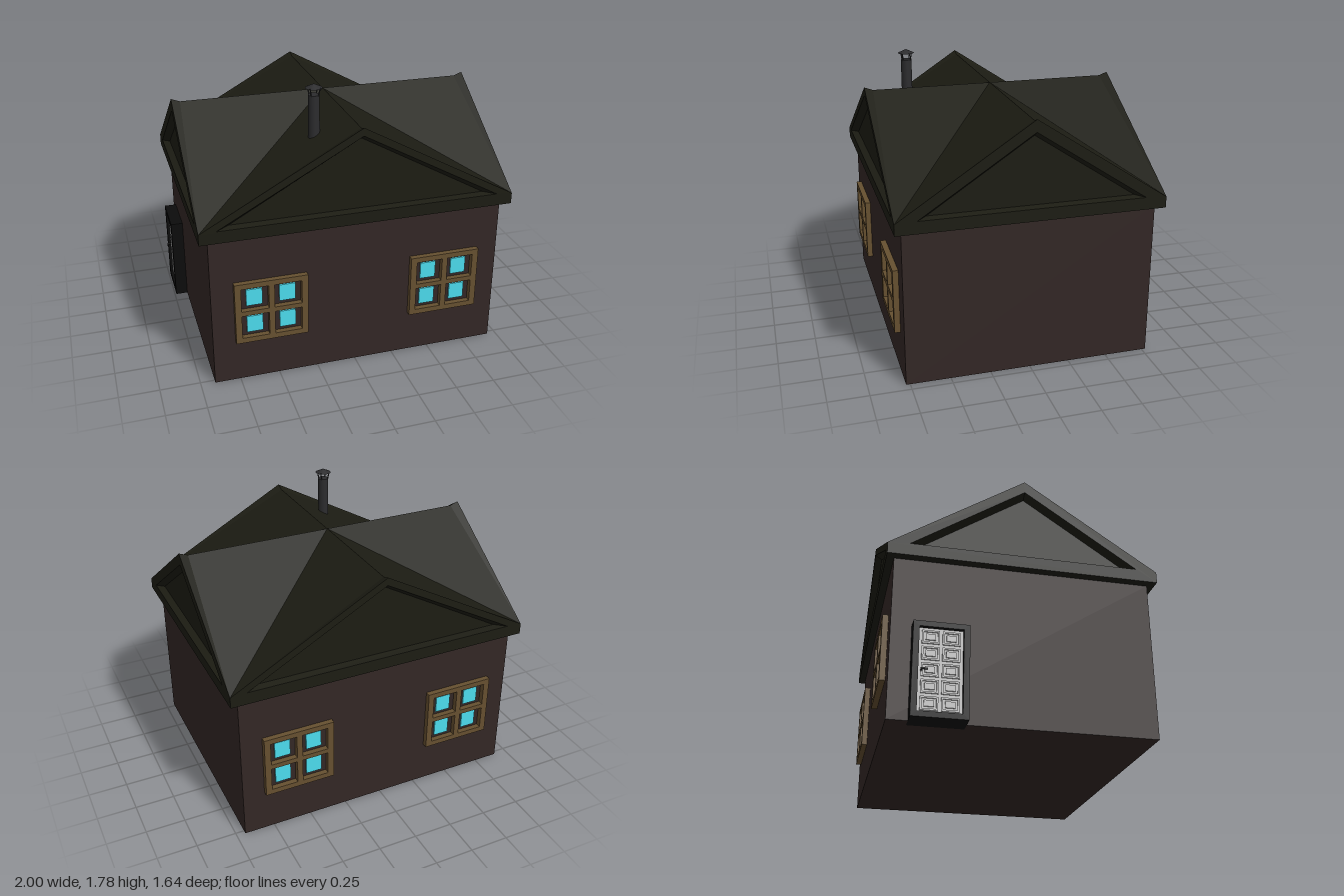
import * as THREE from 'three';

const mat = (color, extra = {}) => new THREE.MeshStandardMaterial({ color, ...extra });
const mats = {
  wall: mat(0x332725),
  roof: mat(0x1c1c13, { flatShading: true }),
  wood: mat(0x665030),
  glass: mat(0x4cdcee),
  dark: mat(0x0c0c0c),
  metal: mat(0x2c2c2e),
  door: mat(0xcccccc),
};
const CX = 0.017; // the house sits slightly off centre to balance the door handle

function add(parent, name, geometry, material, x = 0, y = 0, z = 0) {
  const mesh = new THREE.Mesh(geometry, material);
  mesh.name = name;
  mesh.position.set(x, y, z);
  parent.add(mesh);
  return mesh;
}

const box = (w, h, d) => new THREE.BoxGeometry(w, h, d);

function polygon(points) {
  return points.map(([x, y]) => new THREE.Vector2(x, y));
}

// Rectangular panel in XY with rectangular holes [x, y, w, h], extruded along +z
function piercedPanel(w, h, depth, holes) {
  const rect = (x, y, a, b) => polygon([
    [x - a / 2, y - b / 2], [x + a / 2, y - b / 2], [x + a / 2, y + b / 2], [x - a / 2, y + b / 2]]);
  const shape = new THREE.Shape(rect(0, 0, w, h));
  holes.forEach((o) => shape.holes.push(new THREE.Path(rect(...o))));
  return new THREE.ExtrudeGeometry(shape, { depth, bevelEnabled: false });
}

// One quarter of the cross-gabled roof, facing +z
function makeGable(halfWidth, reach, outer, inner) {
  const gable = new THREE.Group();
  gable.name = 'gable';
  const eave = 0.99, top = 1.06, peak = 1.6, ridge = 1.58, recess = 0.045;

  // Front face with a triangular opening
  const face = new THREE.Shape(polygon([
    [-halfWidth, eave], [halfWidth, eave], [halfWidth, top], [0, peak], [-halfWidth, top]]));
  const triangle = ([half, base, apex], z) => [[-half, base, z], [half, base, z], [0, apex, z]];
  face.holes.push(new THREE.Path(polygon(triangle(outer, 0))));
  add(gable, 'gableFrame', new THREE.ShapeGeometry(face), mats.roof, 0, 0, reach);

  // Slopes, soffit, and the sloping recess with its panel
  const L = [-halfWidth, top, reach], R = [halfWidth, top, reach];
  const A = [0, peak, reach], D = [0, ridge, reach - 0.055], C = [0, ridge, 0];
  const slopes = [R, D, A, R, C, D, L, A, D, L, D, C];
  const soffit = [[-halfWidth, eave, reach], [0, eave, 0], [halfWidth, eave, reach]];
  const o = triangle(outer, reach), i = triangle(inner, reach - recess);
  const opening = [...i];
  for (let k = 0; k < 3; k++) {
    const n = (k + 1) % 3;
    opening.push(o[k], o[n], i[n], o[k], i[n], i[k]);
  }
  const surfaces = { roofSlopes: slopes, soffit, gablePanel: opening };
  for (const [name, corners] of Object.entries(surfaces)) {
    const g = new THREE.BufferGeometry();
    g.setAttribute('position', new THREE.Float32BufferAttribute(corners.flat(), 3));
    g.computeVertexNormals();
    add(gable, name, g, mats.roof);
  }
  return gable;
}

// Four-pane window facing +z, its back on z = 0
function makeWindow() {
  const win = new THREE.Group();
  win.name = 'window';
  const cells = [-1, 1].flatMap((sx) => [-1, 1].map((sy) => [sx * 0.103, sy * 0.093]));
  add(win, 'windowFrame',
    piercedPanel(0.455, 0.41, 0.036, cells.map(([x, y]) => [x, y, 0.17, 0.155])), mats.wood);
  cells.forEach(([x, y]) => add(win, 'pane', box(0.1, 0.11, 0.012), mats.glass, x, y, 0.004));
  return win;
}

// Panelled door facing +z, its back on z = 0
function makeDoor() {
  const door = new THREE.Group();
  door.name = 'door';
  add(door, 'doorFrame', piercedPanel(0.32, 0.565, 0.08, [[0, 0, 0.25, 0.5]]), mats.dark, 0, 0.2825, 0);
  add(door, 'doorLeaf', box(0.25, 0.5, 0.05), mats.door, 0, 0.2825, 0.03);
  for (let row = 0; row < 5; row++) {
    for (const sx of [-1, 1]) {
      const y = 0.085 + row * 0.098;
      add(door, 'doorPanelBorder', piercedPanel(0.1, 0.08, 0.008, [[0, 0, 0.08, 0.06]]),
        mats.door, sx * 0.058, y, 0.055);
      add(door, 'doorPanel', box(0.056, 0.036, 0.008), mats.door, sx * 0.058, y, 0.059);
    }
  }
  // Lever handle
  const stem = add(door, 'handleStem', new THREE.CylinderGeometry(0.006, 0.006, 0.035, 8), mats.dark, -0.105, 0.275, 0.072);
  stem.rotation.x = Math.PI / 2;
  add(door, 'handleLever', box(0.04, 0.009, 0.008), mats.dark, -0.092, 0.275, 0.086);
  // Doorstep running under the wall
  add(door, 'doorSill', box(0.32, 0.008, 0.15), mats.dark, 0, 0.004, 0.005);
  return door;
}

// Stovepipe with a conical cap on struts
function makeChimney() {
  const chimney = new THREE.Group();
  chimney.name = 'chimney';
  add(chimney, 'pipe', new THREE.CylinderGeometry(0.035, 0.035, 0.34, 20), mats.metal, 0, 1.55, 0);
  for (let k = 0; k < 4; k++) {
    const a = (k + 0.5) * Math.PI / 2;
    const path = new THREE.LineCurve3(
      new THREE.Vector3(Math.cos(a) * 0.032, 1.715, Math.sin(a) * 0.032),
      new THREE.Vector3(Math.cos(a) * 0.043, 1.767, Math.sin(a) * 0.043));
    add(chimney, 'capStrut', new THREE.TubeGeometry(path, 1, 0.004, 6), mats.metal);
  }
  add(chimney, 'cap', new THREE.CylinderGeometry(0.006, 0.052, 0.022, 20), mats.metal, 0, 1.773, 0);
  return chimney;
}

export function createModel() {
  const house = new THREE.Group();
  house.name = 'house';

  add(house, 'walls', box(1.855, 0.992, 1.55), mats.wall, CX, 0.496, 0);

  // Roof: wide gables front and back, narrower ones at the sides
  const roof = new THREE.Group();
  roof.name = 'roof';
  roof.position.x = CX;
  for (let k = 0; k < 4; k++) {
    const gable = k % 2 === 0
      ? makeGable(0.983, 0.82, [0.88, 1.067, 1.55], [0.8, 1.076, 1.522])
      : makeGable(0.82, 0.983, [0.69, 1.067, 1.525], [0.63, 1.076, 1.495]);
    gable.rotation.y = k * Math.PI / 2;
    roof.add(gable);
  }
  house.add(roof);

  // Two windows on the front and two on the back
  for (const side of [1, -1]) {
    for (const sx of [-1, 1]) {
      const win = makeWindow();
      win.position.set(CX + sx * 0.562, 0.485, side * 0.774);
      win.rotation.y = side > 0 ? 0 : Math.PI;
      house.add(win);
    }
  }

  const door = makeDoor();
  door.position.set(-0.91, 0, -0.495);
  door.rotation.y = -Math.PI / 2;
  house.add(door);

  const chimney = makeChimney();
  chimney.position.set(-0.192, 0, 0.51);
  house.add(chimney);

  return house;
}
